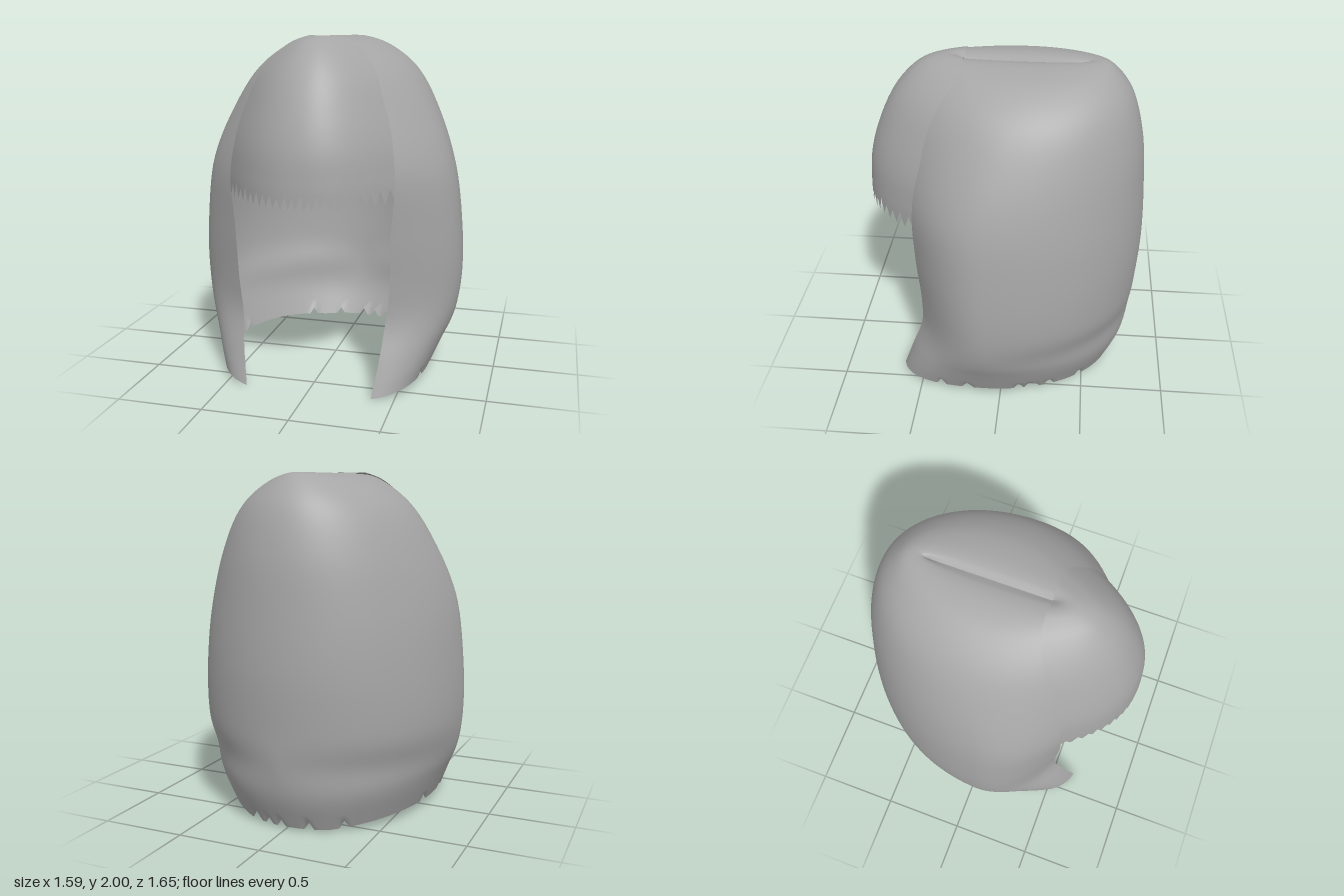
import * as THREE from 'three';

const hair = new THREE.MeshStandardMaterial({ color: 0xa6a6a6, side: THREE.DoubleSide });
hair.name = 'hair grey';

const { lerp, clamp, smoothstep } = THREE.MathUtils;

// Height, half width, back z, front edge x, front edge z
const ROWS = [
  [1.965, 0, -0.44, 0, 0.25],
  [1.985, 0.05, -0.47, 0.03, 0.255],
  [1.985, 0.14, -0.54, 0.1, 0.265],
  [1.94, 0.29, -0.61, 0.19, 0.3],
  [1.8, 0.475, -0.71, 0.31, 0.38],
  [1.55, 0.625, -0.78, 0.41, 0.45],
  [1.25, 0.735, -0.81, 0.465, 0.505],
  [0.9, 0.785, -0.825, 0.445, 0.51],
  [0.6, 0.795, -0.81, 0.44, 0.49],
  [0.4, 0.77, -0.795, 0.42, 0.5],
  [0.2, 0.7, -0.76, 0.4, 0.57],
  [0, 0.63, -0.68, 0.37, 0.64],
];

// Fringe: height, front z, edge x, edge z
const FRINGE = [
  [1.975, 0.25, 0, 0.25],
  [2, 0.32, 0.05, 0.255],
  [1.99, 0.41, 0.11, 0.265],
  [1.94, 0.52, 0.2, 0.3],
  [1.8, 0.65, 0.315, 0.38],
  [1.6, 0.75, 0.395, 0.44],
  [1.4, 0.81, 0.445, 0.485],
  [1.2, 0.828, 0.46, 0.51],
];

const curveOf = (rows, a, b, c) =>
  new THREE.CatmullRomCurve3(rows.map(r => new THREE.Vector3(r[a], r[b], r[c])));

function seeded(seed) {
  return () => (seed = (seed * 16807) % 2147483647) / 2147483647;
}

// Smooth sheet of (cols + 1) x (rows + 1) points given by point(col, row)
function sheet(name, cols, rows, point) {
  const pos = [], index = [];
  for (let j = 0; j <= rows; j++) {
    for (let i = 0; i <= cols; i++) {
      pos.push(...point(i, j));
      if (i < cols && j < rows) {
        const a = j * (cols + 1) + i, b = a + cols + 1;
        index.push(a, a + 1, b, a + 1, b + 1, b);
      }
    }
  }
  const g = new THREE.BufferGeometry();
  g.setAttribute('position', new THREE.Float32BufferAttribute(pos, 3));
  g.setIndex(index);
  g.computeVertexNormals();
  const mesh = new THREE.Mesh(g, hair);
  mesh.name = name;
  return mesh;
}

// Long hair: from the right front edge, round the back, to the left front edge
function makeShell() {
  const cols = 120, rows = 66;
  const body = curveOf(ROWS, 0, 1, 2), edge = curveOf(ROWS, 0, 3, 4);
  const rand = seeded(77);
  const notch = Array.from({ length: cols + 1 }, (_, i) => {
    const r = rand(), u = Math.abs(i / cols * 2 - 1);
    return u < 0.75 && r > 0.82 ? 0.042 : 0;
  });
  return sheet('longHair', cols, rows, (i, j) => {
    const u = i / cols * 2 - 1, s = Math.abs(u), side = u < 0 ? -1 : 1;
    const t = j === rows ? 1 : 0.97 * j / (rows - 1);
    const { x: y0, y: w, z: back } = body.getPoint(t);
    const { y: ex0, z: ez } = edge.getPoint(t);
    const ex = ex0 + (side < 0 ? 0.025 * Math.sin(Math.PI * t) : 0);
    const zs = lerp(0.08, -0.1, smoothstep(y0, 1.2, 1.95));
    let x, z;
    if (s < 0.6) {
      // back quarter ellipse, with a soft crease above the curled-in ends
      const a = s / 0.6 * Math.PI / 2;
      const dent = 1 - 0.03 * Math.sin(2 * a) * Math.exp(-(((y0 - 0.38) / 0.11) ** 2));
      x = w * Math.sin(a) * dent;
      z = zs + (back - zs) * Math.cos(a) * dent;
    } else {
      // side lock bending in towards the face, fuller at the ends
      const k = (s - 0.6) / 0.4, q = 1 - k;
      const cz = zs + (ez - zs) * lerp(0.9, 0.55, smoothstep(y0, 0, 0.6));
      x = q * q * w + 2 * q * k * w + k * k * ex;
      z = q * q * zs + 2 * q * k * cz + k * k * ez;
    }
    // hem, lowest at the back and at the front points, with torn notches
    const hem = 0.012 * (1 - s) + 0.055 * Math.sin(Math.PI * clamp((s - 0.15) / 0.85, 0, 1));
    const y = y0 + hem * clamp(1 - y0 / 0.3, 0, 1) + (j === rows ? notch[i] : 0);
    return [side * x, y, z];
  });
}

// Fringe: bulges forward, its sides tucked behind the long hair
function makeFringe() {
  const cols = 46, rows = 31;
  const front = curveOf(FRINGE, 0, 1, 1), edge = curveOf(FRINGE, 0, 2, 3);
  const rand = seeded(5);
  const tips = Array.from({ length: cols + 1 }, (_, i) =>
    i % 2 ? 1.1 + 0.012 * rand() : 1.165 + 0.03 * rand());
  return sheet('fringe', cols, rows, (i, j) => {
    const t = Math.min(j / (rows - 1), 1);
    const { x: y, y: f } = front.getPoint(t);
    const { y: ex, z: ez } = edge.getPoint(t);
    const a = 1.06 * (1 - 2 * i / cols);
    const x = a * (ex + (a < 0 ? 0.025 * Math.sin(Math.PI * t * 0.6) : 0));
    return [x, j === rows ? tips[i] : y, ez + (f - ez) * (1 - Math.abs(a) ** 2.2)];
  });
}

export function createModel() {
  const group = new THREE.Group();
  group.name = 'bobWig';
  group.add(makeShell(), makeFringe());
  return group;
}
